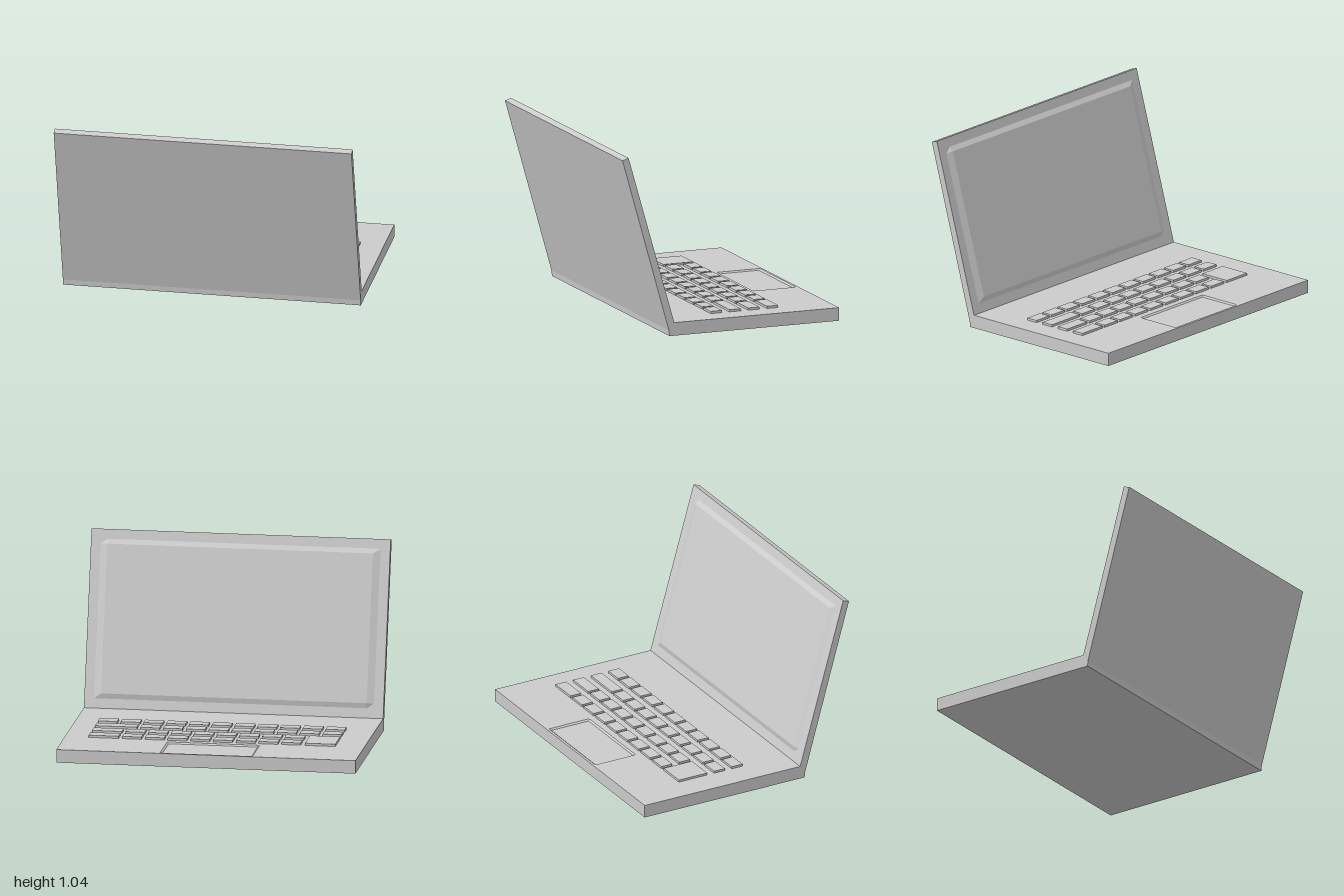
import * as THREE from 'three';

const WIDTH = 1.694, DECK_Y = 0.075, HINGE_Z = 1.0;
const material = new THREE.MeshStandardMaterial({ color: 0xcccccc, flatShading: true });

function part(name, geometry, parent) {
  const mesh = new THREE.Mesh(geometry, material);
  mesh.name = name;
  parent.add(mesh);
  return mesh;
}

// Side profile of [z, y] points, extruded across the full width
function sideExtrude(points) {
  const shape = new THREE.Shape(points.map(([z, y]) => new THREE.Vector2(z, y)));
  return new THREE.ExtrudeGeometry(shape, { depth: WIDTH, bevelEnabled: false })
    .translate(0, 0, -WIDTH / 2)
    .rotateY(-Math.PI / 2);
}

// Rectangle facing +z whose middle is raised (or sunk) behind a sloping rim
function rimmedPanel(w, h, rimX, rimY, rise) {
  const geometry = new THREE.PlaneGeometry(w, h, 3, 3);
  const pos = geometry.attributes.position;
  const xs = [-w / 2, -w / 2 + rimX, w / 2 - rimX, w / 2];
  const ys = [h / 2, h / 2 - rimY, -h / 2 + rimY, -h / 2];
  for (let i = 0; i < pos.count; i++) {
    const c = i % 4, r = Math.floor(i / 4);
    const inner = c % 3 !== 0 && r % 3 !== 0;
    pos.setXYZ(i, xs[c], ys[r], inner ? rise : 0);
  }
  const flat = geometry.toNonIndexed();
  flat.computeVertexNormals();
  return flat;
}

function rectangle(target, x0, y0, x1, y1) {
  target.moveTo(x0, y0).lineTo(x1, y0).lineTo(x1, y1).lineTo(x0, y1).closePath();
  return target;
}

export function createModel() {
  const laptop = new THREE.Group();
  laptop.name = 'laptop';

  // Base with a thin deck plate, cut out for the trackpad
  const recess = 0.008, padX = 0.262, pad0 = 0.014, pad1 = 0.274;
  const plateY = DECK_Y - recess;
  part('baseBody', sideExtrude([
    [0, 0], [1.029, 0], [1.032, 0.032], [1.006, plateY - 0.001], [0, plateY - 0.001],
  ]), laptop);
  const deck = rectangle(new THREE.Shape(), -WIDTH / 2, 0, WIDTH / 2, HINGE_Z + 0.003);
  deck.holes.push(rectangle(new THREE.Path(), -padX, pad0, padX, pad1));
  part('deck', new THREE.ExtrudeGeometry(deck, { depth: recess + 0.001, bevelEnabled: false })
    .rotateX(Math.PI / 2), laptop).position.y = DECK_Y;

  // Trackpad sunk into the deck
  part('trackpad', rimmedPanel(2 * padX, pad1 - pad0, 0.01, 0.01, -recess)
    .rotateX(-Math.PI / 2), laptop).position.set(0, DECK_Y, (pad0 + pad1) / 2);

  // Lid leaning back from the hinge
  part('lid', sideExtrude([
    [HINGE_Z, DECK_Y], [1.0, 0.032], [1.032, 0.032], [1.314, 1.029], [1.277, 1.041],
  ]), laptop);

  // Raised screen with bevelled rim
  const lidLength = 1.005, inset = 0.055;
  const screen = part('screen', rimmedPanel(
    WIDTH - 2 * inset, lidLength - 2 * inset, 0.04, 0.028, 0.013)
    .rotateY(Math.PI).translate(0, lidLength / 2, 0), laptop);
  screen.position.set(0, DECK_Y, HINGE_Z);
  screen.rotation.x = Math.atan2(0.277, 0.966);

  // Keyboard: rows of single keys, wide end keys and one double-height key
  const keyboard = new THREE.Group();
  keyboard.name = 'keyboard';
  laptop.add(keyboard);
  const pitch = 0.1288, gap = 0.02, rowPitch = 0.1135, keyDepth = 0.069, keyHeight = 0.013;
  const row0 = 0.312, left = -0.684, right = 0.712;
  function key(name, x0, x1, z0, z1) {
    part(name, new THREE.BoxGeometry(x1 - x0, keyHeight, z1 - z0), keyboard)
      .position.set((x0 + x1) / 2, DECK_Y + keyHeight / 2, (z0 + z1) / 2);
  }
  const rows = [
    { start: -0.488, count: 8, wide: true },
    { start: -0.488, count: 8, wide: true },
    { start: left, count: 9, wide: true },
    { start: left, count: 11, wide: false },
  ];
  rows.forEach(({ start, count, wide }, r) => {
    const z = row0 + r * rowPitch;
    for (let i = 0; i < count; i++) {
      const x = start + i * pitch;
      key('key', x, x + pitch - gap, z, z + keyDepth);
    }
    if (wide) key('wideKey', start + count * pitch, right, z, z + keyDepth);
  });
  key('tallKey', left, -0.512, row0, row0 + rowPitch + keyDepth);

  // Turn the whole laptop on its stand point
  laptop.rotation.y = -0.287;
  laptop.position.set(0.1875, 0, -0.63);
  const model = new THREE.Group();
  model.name = 'model';
  model.add(laptop);
  return model;
}
